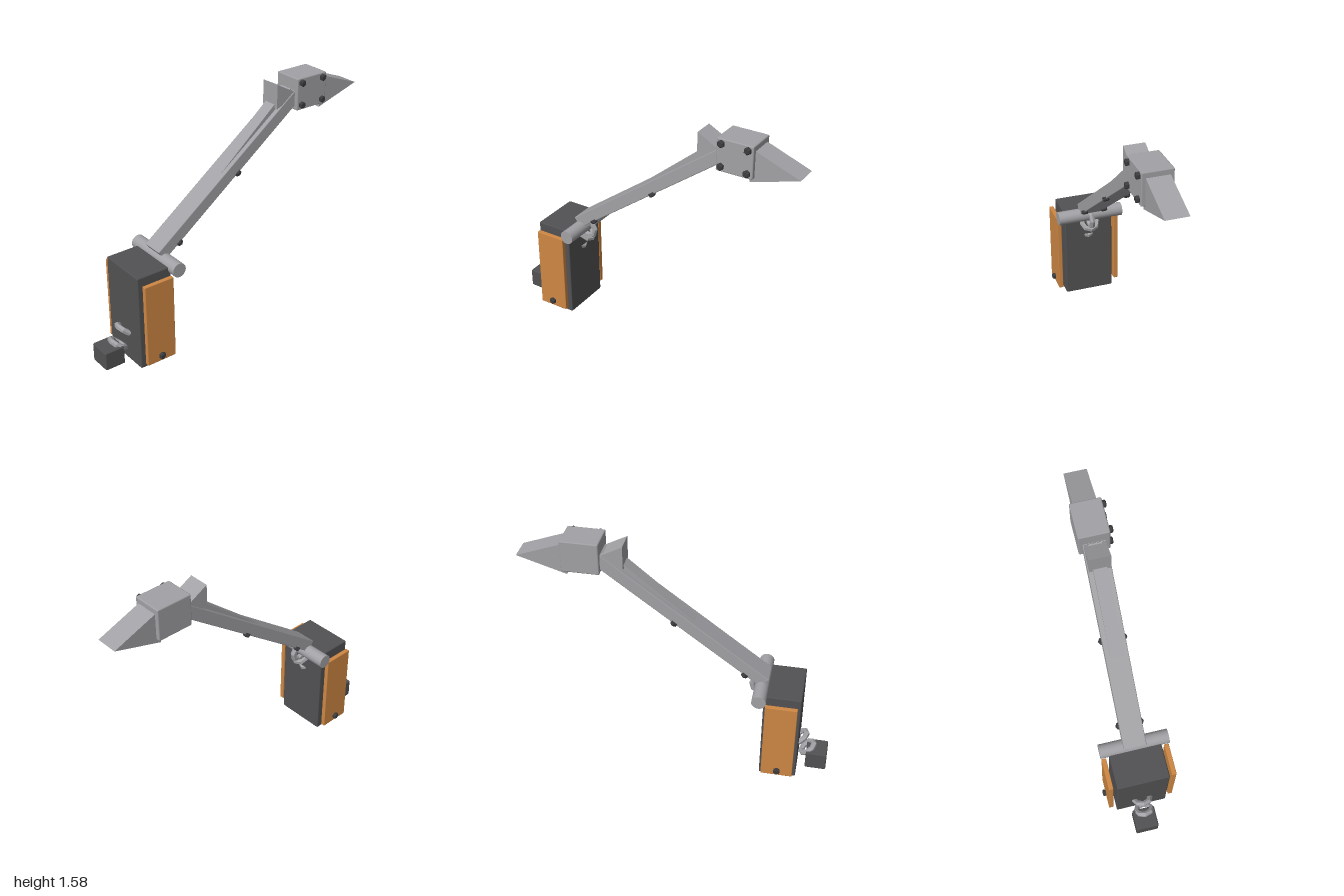
import * as THREE from 'three';
import { RoundedBoxGeometry } from 'three/addons/geometries/RoundedBoxGeometry.js';

const paint = (name, color) => {
  const m = new THREE.MeshStandardMaterial({ color });
  m.name = name;
  return m;
};

export function createModel() {
  const steel = paint('steel', 0xa2a2a6);
  const iron = paint('dark iron', 0x525254);
  const boltDark = paint('bolt black', 0x3c3c3f);
  const orange = paint('orange panel', 0xcf8844);
  const model = new THREE.Group();
  model.name = 'armedHammer';

  const add = (name, geo, mat, x = 0, y = 0, z = 0) => {
    const mesh = new THREE.Mesh(geo, mat);
    mesh.name = name;
    mesh.position.set(x, y, z);
    model.add(mesh);
    return mesh;
  };
  const box = (name, mat, w, h, d, x, y, z, r = 0.008) =>
    add(name, new RoundedBoxGeometry(w, h, d, 1, r), mat, x, y, z);
  // Side profile in x and y, extruded evenly across z
  const prism = (name, pts, width, mat) => {
    const shape = new THREE.Shape(pts.map(([x, y]) => new THREE.Vector2(x, y)));
    const geo = new THREE.ExtrudeGeometry(shape, { depth: width, bevelEnabled: false });
    geo.translate(0, 0, -width / 2);
    return add(name, geo, mat);
  };
  // Hexagonal bolt head with a narrower crown, pointing along dir
  const up = new THREE.Vector3(0, 1, 0);
  const bolt = (name, pos, dir) => {
    const profile = [[0, -0.012], [0.023, -0.012], [0.023, 0.007], [0.016, 0.013], [0, 0.013]];
    const geo = new THREE.LatheGeometry(profile.map(p => new THREE.Vector2(...p)), 6).toNonIndexed();
    geo.computeVertexNormals();
    add(name, geo, boltDark, ...pos).quaternion.setFromUnitVectors(up, dir);
  };

  // Main block, side panels and panel bolts
  box('body', iron, 0.24, 0.645, 0.34, -0.69, 0.3325, 0);
  for (const s of [1, -1]) {
    box('sidePanel', orange, 0.205, 0.56, 0.03, -0.688, 0.33, s * 0.205, 0.004);
    bolt('panelBolt', [-0.69, 0.09, s * 0.228], new THREE.Vector3(0, 0, s));
  }

  // Hinge pin across the top edge
  const pin = new THREE.CylinderGeometry(0.046, 0.046, 0.45, 24);
  pin.rotateX(Math.PI / 2);
  add('hingePin', pin, steel, -0.545, 0.645, 0);

  // Sloping arm
  const slope = Math.atan(0.745);
  const along = new THREE.Vector3(Math.cos(slope), Math.sin(slope), 0);
  const down = new THREE.Vector3(along.y, -along.x, 0);
  const start = new THREE.Vector3(-0.59, 0.71, 0);
  const armLength = 1.36, armDepth = 0.08;
  const mid = start.clone().addScaledVector(along, armLength / 2).addScaledVector(down, armDepth / 2);
  box('arm', steel, armLength, armDepth, 0.145, mid.x, mid.y, mid.z, 0.005).rotation.z = slope;

  // Bolts on the underside of the arm
  for (const [x, y] of [[0.02, 1.065], [-0.432, 0.728]])
    for (const z of [0.068, -0.068]) bolt('armBolt', [x, y, z], down);

  // Tapered rib along the arm and the rear fin
  prism('armRib', [[-0.28, 0.925], [0.3, 1.36], [0.48, 1.48], [0.46, 1.51], [0.33, 1.435]], 0.085, steel);
  prism('rearFin', [[0.33, 1.41], [0.49, 1.47], [0.49, 1.485], [0.33, 1.57]], 0.135, steel);

  // Head block, its bolts and the wedge beak
  box('head', steel, 0.24, 0.21, 0.195, 0.59, 1.48, 0);
  for (const x of [0.505, 0.675])
    for (const y of [1.41, 1.555]) bolt('headBolt', [x, y, 0.106], new THREE.Vector3(0, 0, 1));
  prism('beak', [[0.68, 1.345], [0.995, 1.442], [0.695, 1.555]], 0.145, steel);

  // Chain links partly sunk into the block
  const link = (name, x, y, crosswise) => {
    const geo = new THREE.TorusGeometry(0.052, 0.019, 6, 8).toNonIndexed();
    geo.computeVertexNormals();
    if (crosswise) geo.rotateX(Math.PI / 2).rotateZ(-0.68);
    else geo.rotateZ(0.9);
    add(name, geo, steel, x, y, 0);
  };
  link('upperLink', -0.527, 0.612, false);
  link('upperCrossLink', -0.545, 0.575, true);
  link('innerLink', -0.617, 0.49, true);
  link('rearLink', -0.815, 0.215, true);
  link('lowerLink', -0.87, 0.13, true);

  // Counterweight on the end of the chain
  box('weight', iron, 0.137, 0.125, 0.15, -0.932, 0.083, -0.005);
  return model;
}
